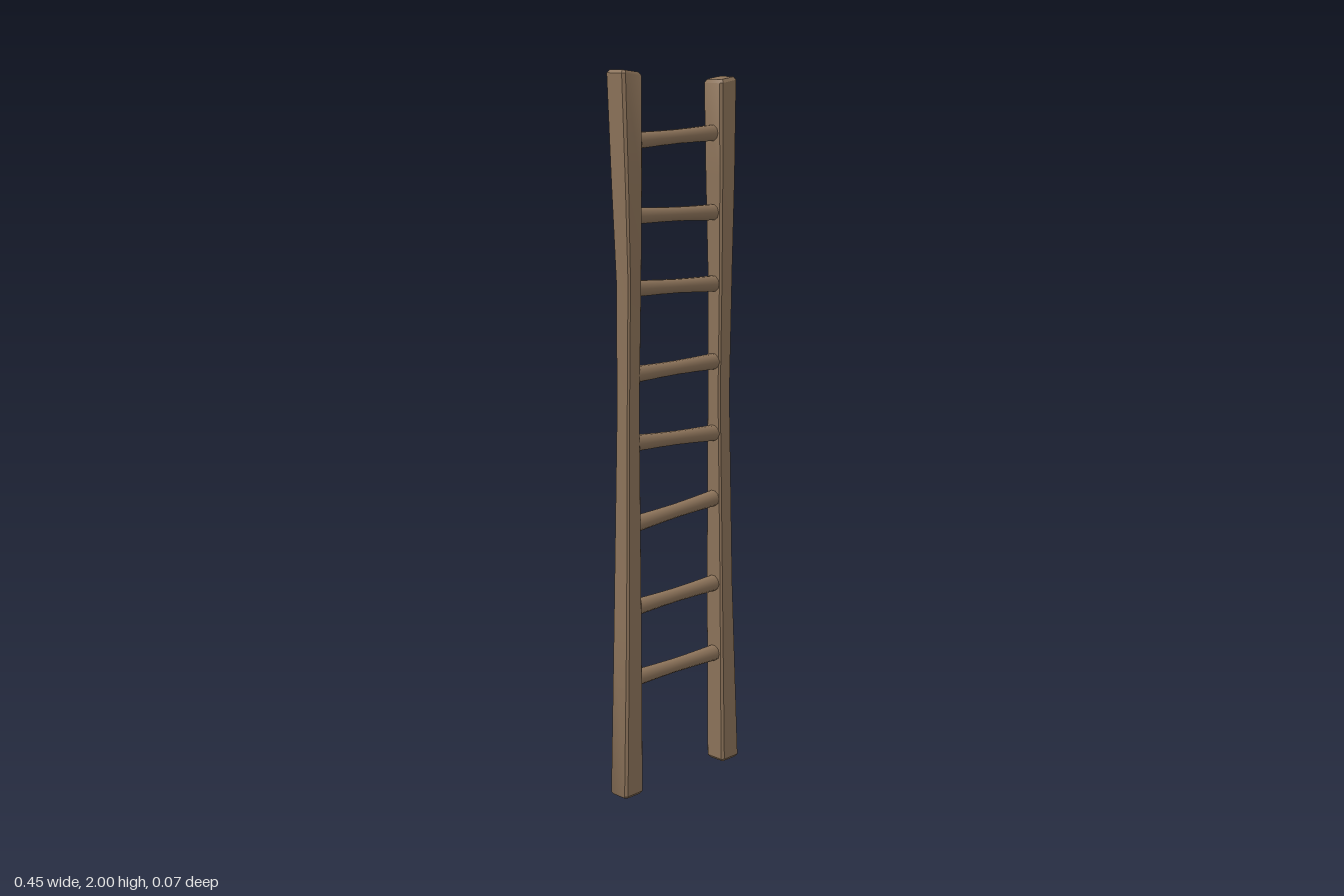
import * as THREE from 'three';
import { toCreasedNormals } from 'three/addons/utils/BufferGeometryUtils.js';

const wood = new THREE.MeshStandardMaterial({ color: 0x8b7259 });
wood.name = 'brown wood';

// Rail lofted through chamfered rectangles: [y, xMin, xMax, zMin, zMax, tilt, inset]
function railGeometry(sections) {
  const pos = [], index = [], n = 8;
  for (const [y, x0, x1, z0, z1, tilt = 0, inset = 0] of sections) {
    const cx = (x0 + x1) / 2, cz = (z0 + z1) / 2;
    const w = (x1 - x0) / 2 - inset, d = (z1 - z0) / 2 - inset, c = 0.2 * Math.min(w, d);
    const ring = [[w, d - c], [w - c, d], [c - w, d], [-w, d - c],
      [-w, c - d], [c - w, -d], [w - c, -d], [w, c - d]];
    for (const [x, z] of ring) pos.push(cx + x, y + tilt * x, cz + z);
  }
  const last = (sections.length - 1) * n;
  for (let r = 0; r < last; r += n) {
    for (let i = 0; i < n; i++) {
      const j = (i + 1) % n;
      index.push(r + i, r + n + j, r + n + i, r + i, r + j, r + n + j);
    }
  }
  // end caps
  for (let i = 1; i < n - 1; i++) {
    index.push(0, i + 1, i, last, last + i, last + i + 1);
  }
  // the ring runs clockwise seen from above, so reverse every face
  for (let i = 0; i < index.length; i += 3) {
    [index[i + 1], index[i + 2]] = [index[i + 2], index[i + 1]];
  }
  const g = new THREE.BufferGeometry();
  g.setAttribute('position', new THREE.Float32BufferAttribute(pos, 3));
  g.setIndex(index);
  return toCreasedNormals(g, 0.6);
}

// Round rung, slightly thinner in the middle, from one rail to the other
function rungGeometry() {
  const profile = [[0, -0.5], [0.0235, -0.5], [0.0225, -0.42], [0.0205, -0.2],
    [0.0195, 0], [0.0205, 0.2], [0.0225, 0.42], [0.0235, 0.5], [0, 0.5]];
  return toCreasedNormals(
    new THREE.LatheGeometry(profile.map(p => new THREE.Vector2(...p)), 10), 0.8);
}

export function createModel() {
  const group = new THREE.Group();
  group.name = 'ladder';
  const add = (name, geometry) => {
    const mesh = new THREE.Mesh(geometry, wood);
    mesh.name = name;
    group.add(mesh);
    return mesh;
  };

  // side rails, waisted in the middle and worn at the ends
  add('rightRail', railGeometry([
    [0.005, -0.23, -0.16, -0.034, 0.034, 0.03, 0.006],
    [0.013, -0.229, -0.16, -0.034, 0.034, 0.03],
    [0.5, -0.216, -0.16, -0.031, 0.031],
    [1.1, -0.202, -0.157, -0.027, 0.022],
    [1.45, -0.202, -0.154, -0.027, 0.028],
    [1.7, -0.213, -0.154, -0.032, 0.033],
    [1.987, -0.225, -0.154, -0.036, 0.035, -0.12],
    [1.996, -0.225, -0.154, -0.036, 0.035, -0.12, 0.006],
  ]));
  add('leftRail', railGeometry([
    [0.008, 0.157, 0.227, -0.034, 0.034, 0.03, 0.006],
    [0.016, 0.157, 0.226, -0.034, 0.034, 0.03],
    [0.55, 0.15, 0.2, -0.031, 0.031],
    [1.1, 0.147, 0.193, -0.027, 0.022],
    [1.45, 0.145, 0.195, -0.027, 0.028],
    [1.7, 0.14, 0.198, -0.032, 0.033],
    [1.965, 0.136, 0.2, -0.036, 0.035, 0.15],
    [1.974, 0.136, 0.2, -0.036, 0.035, 0.15, 0.006],
  ]));

  // rungs: height at the -x end, height at the +x end
  const rungs = [[0.336, 0.337], [0.54, 0.548], [0.777, 0.8], [1.006, 0.988],
    [1.194, 1.194], [1.427, 1.412], [1.62, 1.61], [1.815, 1.828]];
  const geometry = rungGeometry();
  const up = new THREE.Vector3(0, 1, 0);
  rungs.forEach(([ya, yb], i) => {
    const a = new THREE.Vector3(-0.175, ya, -0.001), b = new THREE.Vector3(0.165, yb, -0.001);
    const rung = add('rung' + (i + 1), geometry);
    rung.position.lerpVectors(a, b, 0.5);
    rung.scale.y = a.distanceTo(b);
    rung.quaternion.setFromUnitVectors(up, b.sub(a).normalize());
  });
  return group;
}
